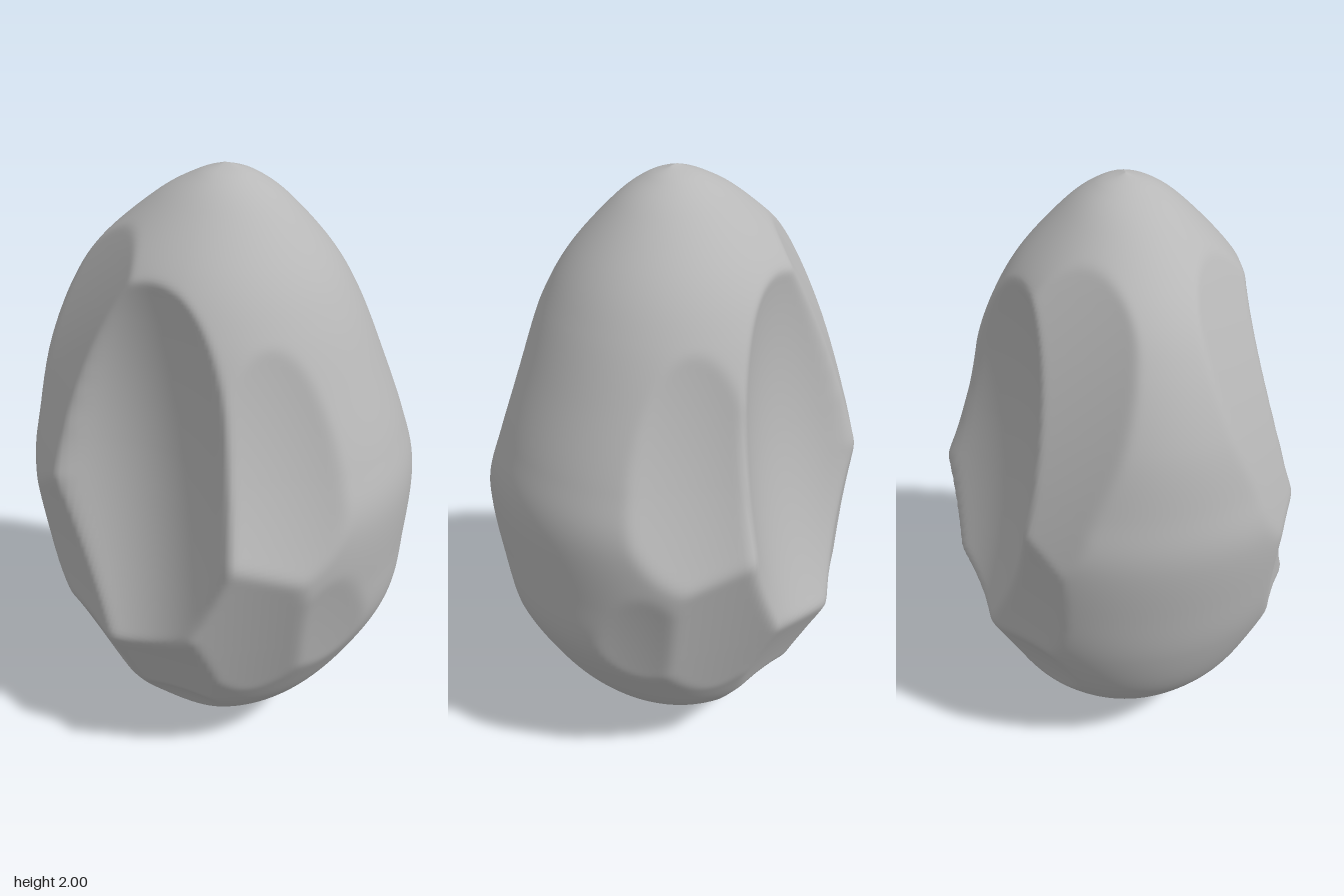
import * as THREE from 'three';

// Egg profile: height, left half-width, right half-width, half-depth
const PROFILE = [
  [0, 0, 0.02, 0], [0.04, 0.12, 0.12, 0.13], [0.12, 0.25, 0.24, 0.25], [0.25, 0.38, 0.38, 0.385],
  [0.4, 0.485, 0.49, 0.47], [0.6, 0.56, 0.59, 0.575], [0.8, 0.6, 0.615, 0.625], [1.03, 0.63, 0.625, 0.635],
  [1.2, 0.615, 0.585, 0.57], [1.4, 0.58, 0.51, 0.495], [1.6, 0.5, 0.425, 0.415], [1.75, 0.395, 0.335, 0.325],
  [1.9, 0.215, 0.2, 0.185], [1.97, 0.09, 0.1, 0.09], [2, 0, 0.02, 0],
];

// Shallow scallops chipped from the surface, mirrored front to back.
// nx, nz: outward direction; y0, v0: centre; d: distance from the axis;
// t: vertical tilt; a, b: sideways and vertical hollowness
const CHIPS = [
  { nx: 0, nz: 1, y0: 1.3, v0: -0.15, d: 0.327, t: -0.1, a: 1.25, b: 0.24 },      // big hollow
  { nx: 0.62, nz: 0.785, y0: 1.25, v0: 0, d: 0.5, t: -0.28, a: 0.7, b: 0.2 },     // upper flank
  { nx: 0.5, nz: 0.866, y0: 0.62, v0: 0, d: 0.53, t: 0.27, a: 0.5, b: 0 },        // lower flank
  { nx: 0, nz: 1, y0: 0.38, v0: 0, d: 0.435, t: 0.42, a: 0.3, b: 0.2 },           // under the hollow
  { nx: 0, nz: 1, y0: 0.18, v0: -0.02, d: 0.295, t: 0.6, a: 0.8, b: 1.5 },        // foot dimple
  { nx: -0.6, nz: 0.8, y0: 0.38, v0: 0, d: 0.44, t: 0.4, a: 0.5, b: 0.6 },        // low corner
  { nx: -0.55, nz: 0.835, y0: 0.85, v0: 0, d: 0.55, t: 0.1, a: 0.3, b: 0.2 },     // side facet
  { nx: -0.7, nz: 0.714, y0: 1.15, v0: 0, d: 0.57, t: -0.3, a: 0.2, b: -0.18 },   // shoulder
  { nx: 0.82, nz: 0.57, y0: 0.62, v0: 0, d: 0.56, t: 0.23, a: 0.5, b: 0.1 },      // side scoop
];

function isChipped(x, y, z) {
  return CHIPS.some((c) => {
    const h = y - c.y0;
    const u = x * c.nx + z * c.nz;
    const v = x * c.nz - z * c.nx - c.v0;
    return u > c.d + c.t * h + c.a * v * v + c.b * h * h;
  });
}

// How far a point must shrink towards the axis to clear every chip
function carve(x, y, z) {
  const front = Math.abs(z);
  if (!isChipped(x, y, front)) return 1;
  let inside = 0, outside = 1;
  for (let k = 0; k < 18; k++) {
    const mid = (inside + outside) / 2;
    if (isChipped(x * mid, y, front * mid)) outside = mid;
    else inside = mid;
  }
  return inside;
}

// Soften the ridges a little by averaging each value with its neighbours
function soften(rows) {
  return rows.map((row, i) => row.map((s, j) => {
    const n = row.length;
    const below = rows[Math.max(i - 1, 0)][j], above = rows[Math.min(i + 1, rows.length - 1)][j];
    return (2 * s + below + above + row[(j + 1) % n] + row[(j + n - 1) % n]) / 6;
  }));
}

function stoneGeometry(rings, sides) {
  const spline = (column) => new THREE.CatmullRomCurve3(
    PROFILE.map((p) => new THREE.Vector3(p[column], p[0], p[3])), false, 'catmullrom');
  const left = spline(1), right = spline(2);

  // Uncarved egg rings
  const egg = [];
  for (let i = 0; i <= rings; i++) {
    const l = left.getPoint(i / rings), r = right.getPoint(i / rings);
    const tip = i === 0 || i === rings;
    egg.push(Array.from({ length: sides }, (_, j) => {
      const angle = (j / sides) * Math.PI * 2;
      const c = Math.cos(angle);
      return tip ? [0, l.y, 0] : [c * (c < 0 ? l.x : r.x), l.y, Math.sin(angle) * l.z];
    }));
  }

  let scales = egg.map((ring) => ring.map((p) => carve(...p)));
  for (let pass = 0; pass < 3; pass++) scales = soften(scales);

  const positions = [], indices = [];
  egg.forEach((ring, i) => ring.forEach(([x, y, z], j) => {
    positions.push(x * scales[i][j], y, z * scales[i][j]);
    if (i === rings) return;
    const a = i * sides + j, b = i * sides + (j + 1) % sides;
    if (i > 0) indices.push(a, a + sides, b);
    if (i < rings - 1) indices.push(b, a + sides, b + sides);
  }));
  const geometry = new THREE.BufferGeometry();
  geometry.setAttribute('position', new THREE.Float32BufferAttribute(positions, 3));
  geometry.setIndex(indices);
  geometry.computeVertexNormals();
  return geometry;
}

export function createModel() {
  const group = new THREE.Group();
  group.name = 'chippedStone';
  const stone = new THREE.MeshStandardMaterial({ color: 0xb8b8b8 });
  stone.name = 'stoneGrey';
  const body = new THREE.Mesh(stoneGeometry(210, 240), stone);
  body.name = 'stoneBody';
  group.add(body);
  return group;
}
